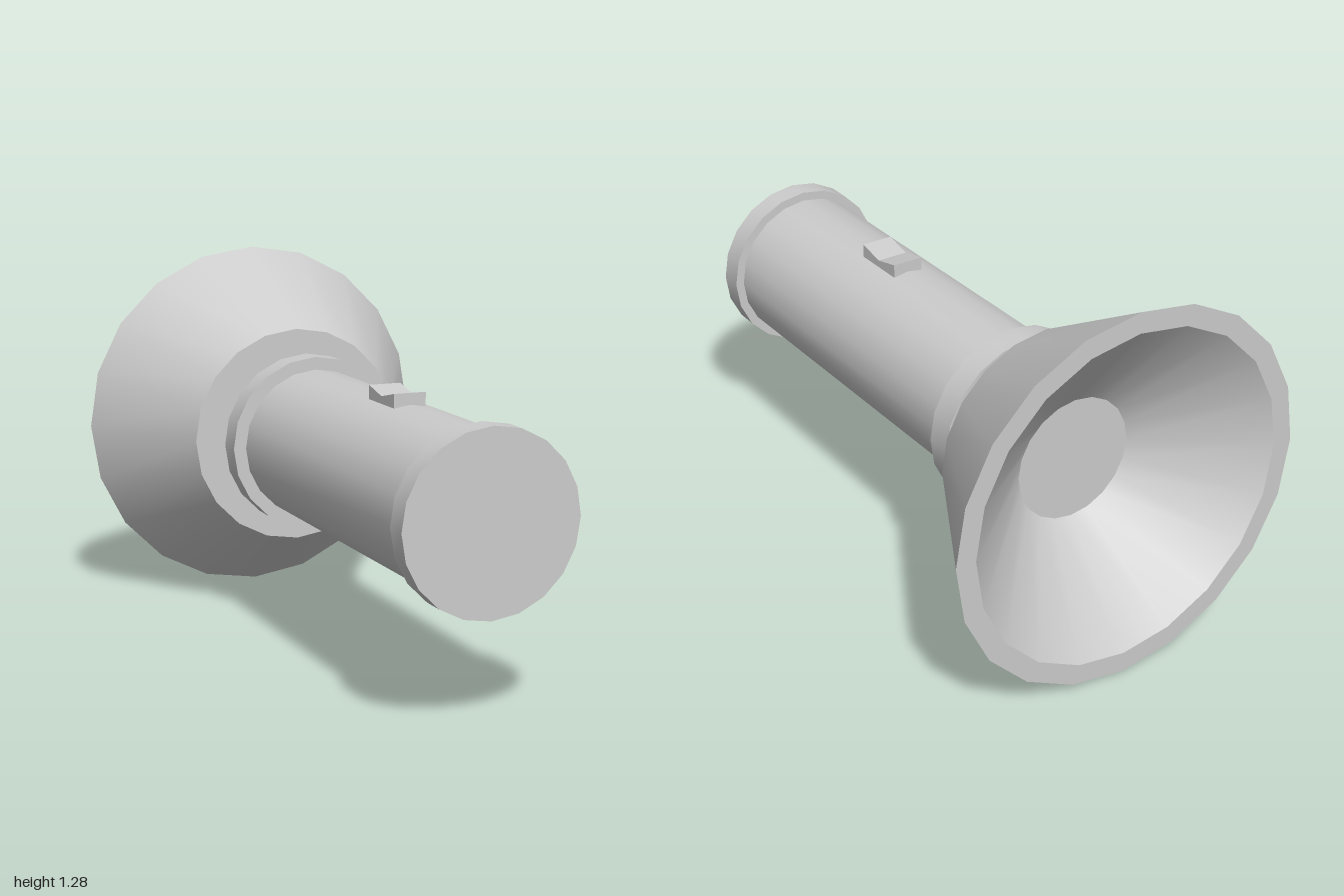
import * as THREE from 'three';
import { toCreasedNormals } from 'three/addons/utils/BufferGeometryUtils.js';

const SIDES = 20;
const AXIS_Y = 0.642;

export function createModel() {
  const group = new THREE.Group();
  const material = new THREE.MeshStandardMaterial({ color: 0xcccccc });

  function add(name, geometry) {
    const mesh = new THREE.Mesh(geometry, material);
    mesh.name = name;
    group.add(mesh);
    return mesh;
  }

  // Turned part along the z axis; profile is [radius, z] pairs
  function turned(name, profile) {
    const points = profile.map(([r, z]) => new THREE.Vector2(r, z));
    const geometry = new THREE.LatheGeometry(points, SIDES).rotateX(Math.PI / 2);
    add(name, toCreasedNormals(geometry, 0.6)).position.y = AXIS_Y;
  }

  const drum = (name, r, back, front) =>
    turned(name, [[0, back], [r, back], [r, front], [0, front]]);

  // Handle
  drum('tailCap', 0.293, 0.92, 1);
  drum('body', 0.262, -0.37, 0.92);
  drum('collarRing', 0.307, -0.46, -0.37);
  drum('neck', 0.254, -0.55, -0.46);

  // Flared head with a hollow reflector and a flat disc at its bottom
  turned('head', [
    [0, -0.71], [0.21, -0.71], [0.57, -1],
    [0.64, -1], [0.384, -0.55], [0, -0.55],
  ]);

  // Rocker switch: dipped side profile extruded across x
  const profile = new THREE.Shape([
    [-0.42, 0.895], [-0.225, 0.895], [-0.225, 0.942], [-0.323, 0.92], [-0.42, 0.942],
  ].map(([u, v]) => new THREE.Vector2(u, v)));
  const rocker = new THREE.ExtrudeGeometry(profile, { depth: 0.11, bevelEnabled: false });
  rocker.translate(0, 0, -0.055).rotateY(Math.PI / 2);
  add('switch', rocker);

  return group;
}
